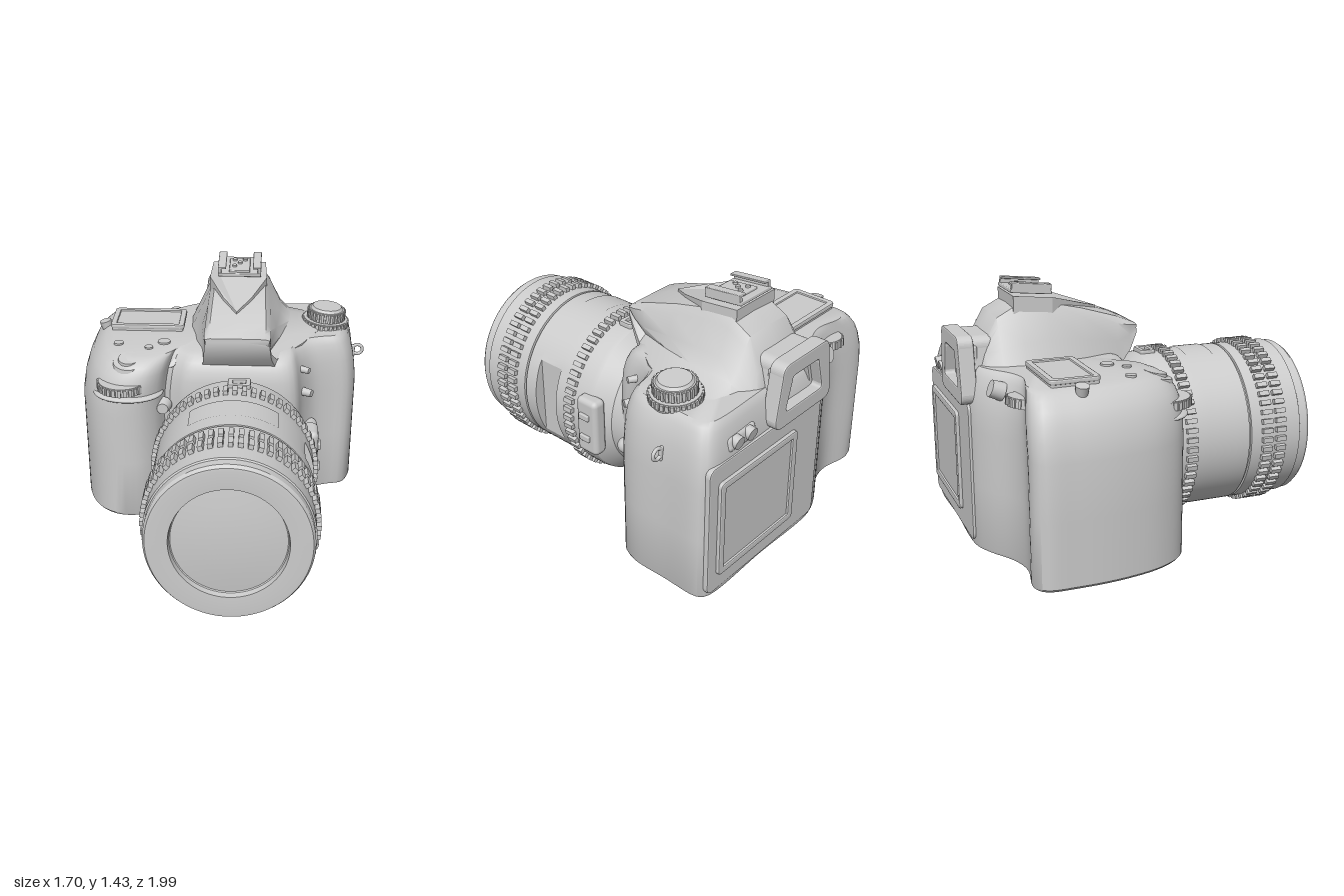
import * as THREE from 'three';
import { mergeGeometries, toCreasedNormals } from 'three/addons/utils/BufferGeometryUtils.js';
import { RoundedBoxGeometry } from 'three/addons/geometries/RoundedBoxGeometry.js';

const grey = new THREE.MeshStandardMaterial({ color: 0xcccccc });

export function createModel() {
  const model = new THREE.Group();

  const add = (name, geo, pos = [0, 0, 0], rot = [0, 0, 0], parent = model) => {
    const mesh = new THREE.Mesh(geo, grey);
    mesh.name = name;
    mesh.position.set(...pos);
    mesh.rotation.set(...rot);
    parent.add(mesh);
    return mesh;
  };
  const box = (w, h, d, r = 0.01) => new RoundedBoxGeometry(w, h, d, 2, r);
  const cyl = (rTop, rBottom, h, n = 32) => new THREE.CylinderGeometry(rTop, rBottom, h, n);

  // Skin over closed rings of equal length, capped at both ends
  function loft(rings, crease = 0.6) {
    const n = rings[0].length, pos = rings.flat(2), idx = [];
    for (let i = 0; i < rings.length - 1; i++) {
      for (let j = 0; j < n; j++) {
        const a = i * n + j, b = i * n + (j + 1) % n;
        idx.push(a, b, b + n, a, b + n, a + n);
      }
    }
    [0, rings.length - 1].forEach((r) => {
      const c = pos.length / 3;
      for (let k = 0; k < 3; k++) pos.push(rings[r].reduce((s, p) => s + p[k], 0) / n);
      for (let j = 0; j < n; j++) {
        const a = r * n + j, b = r * n + (j + 1) % n;
        idx.push(...(r ? [c, a, b] : [c, b, a]));
      }
    });
    const g = new THREE.BufferGeometry();
    g.setAttribute('position', new THREE.Float32BufferAttribute(pos, 3));
    g.setIndex(idx);
    return toCreasedNormals(g, crease);
  }

  // Ribs standing on a circle around the y axis
  const ribs = (r, count, w, h, d) => mergeGeometries(Array.from({ length: count }, (_, i) =>
    new THREE.BoxGeometry(w, h, d).translate(0, 0, r).rotateY((i / count) * Math.PI * 2)));
  const ribbedDial = (r, h, n) => mergeGeometries([cyl(r, r, h, 40), ribs(r, n, r * 0.14, h * 0.85, 0.02)]);

  // Rounded rectangle outline
  function roundRect(w, h, r, wTop = w, P = THREE.Shape) {
    const s = new P(), a = w / 2, t = wTop / 2, b = h / 2;
    s.moveTo(-a + r, -b).lineTo(a - r, -b).quadraticCurveTo(a, -b, a, -b + r);
    s.lineTo(t, b - r).quadraticCurveTo(t, b, t - r, b).lineTo(-t + r, b);
    s.quadraticCurveTo(-t, b, -t, b - r).lineTo(-a, -b + r).quadraticCurveTo(-a, -b, -a + r, -b);
    return s;
  }
  function frame(w, h, border, depth, wTop = w, r = 0.05) {
    const s = roundRect(w, h, r, wTop);
    s.holes.push(roundRect(w - 2 * border, h - 2 * border, r * 0.6, wTop - 2 * border, THREE.Path));
    return new THREE.ExtrudeGeometry(s, { depth, bevelEnabled: true, bevelSize: 0.008, bevelThickness: 0.008, bevelSegments: 2 });
  }

  // Body: footprint with the hand grip, raised and drawn in towards the top
  const plan = [[-0.84, -0.35], [-0.79, -0.13], [-0.71, 0], [-0.6, 0.06], [-0.46, 0.05], [-0.37, -0.02], [-0.32, -0.11],
    [-0.26, -0.08], [-0.22, -0.05], [0.1, -0.04], [0.38, -0.05], [0.43, -0.08], [0.47, -0.2], [0.54, -0.3], [0.64, -0.35],
    [0.74, -0.38], [0.785, -0.47], [0.79, -0.7], [0.785, -0.91], [0.75, -0.945], [0.3, -0.95], [-0.14, -0.95],
    [-0.25, -0.91], [-0.42, -0.81], [-0.55, -0.78], [-0.76, -0.81], [-0.83, -0.77], [-0.85, -0.6]];
  const outline = new THREE.CatmullRomCurve3(plan.map(([x, z]) => new THREE.Vector3(x, 0, z)), true)
    .getSpacedPoints(140).slice(0, -1);
  // height, left-side scale, front scale, back scale
  const levels = [[0.04, 0.985, 0.985, 0.99], [0.055, 1, 1, 1], [0.4, 1, 1, 1], [0.7, 1, 1, 1], [0.8, 0.98, 1, 1], [0.88, 0.95, 0.99, 0.98],
    [0.94, 0.915, 0.96, 0.95], [0.985, 0.87, 0.91, 0.92], [1.015, 0.83, 0.84, 0.89], [1.03, 0.78, 0.76, 0.86]];
  add('body', loft(levels.map(([y, s, f, b]) => outline.map((p) => [
    p.x * (p.x < 0 ? s : 1 - (1 - s) * 0.55), y, -0.5 + (p.z + 0.5) * (p.z > -0.5 ? f : b)]))));

  // Prism housing: sections from front to back (z, base y, top y, base half width, top half width, right shoulder)
  const prism = [[0.01, 1.13, 1.18, 0.18, 0.17, 0], [-0.03, 1.04, 1.2, 0.19, 0.175, 0], [-0.1, 0.95, 1.23, 0.2, 0.175, 0.02],
    [-0.3, 0.95, 1.29, 0.27, 0.17, 0.1], [-0.5, 0.95, 1.335, 0.32, 0.165, 0.16], [-0.65, 0.95, 1.335, 0.33, 0.165, 0.16],
    [-0.77, 0.95, 1.27, 0.32, 0.17, 0.14], [-0.85, 0.95, 1.12, 0.3, 0.18, 0.08], [-0.89, 0.93, 1.02, 0.27, 0.18, 0]];
  add('prismHousing', loft(prism.map(([z, y0, y1, b, t, e]) => {
    const h = y1 - y0, m = t + (b - t) * 0.45;
    return [[-b, y0], [-m, y0 + h * 0.5], [-t - 0.01, y1 - h * 0.15], [-t + 0.02, y1 - h * 0.02], [0, y1],
      [t - 0.02, y1 - h * 0.02], [t + 0.01, y1 - h * 0.15], [m, y0 + h * 0.5], [b - 0.03, y0 + h * 0.33], [b + e, y0 + h * 0.22], [b + e, y0]]
      .map(([x, y]) => [x + 0.09, y, z]);
  }), 0.7));

  // Raised wedge on top of the prism
  const wedge = new THREE.Shape([[0.08, 0.17], [0.16, 0.29], [0.245, 0.47], [0.235, 0.68], [-0.075, 0.68], [-0.085, 0.47], [0, 0.29]]
    .map((p) => new THREE.Vector2(...p)));
  const wedgeGeo = new THREE.ExtrudeGeometry(wedge, { depth: 0.1, bevelEnabled: false }).rotateX(-Math.PI / 2);
  const wp = wedgeGeo.attributes.position;
  for (let i = 0; i < wp.count; i++) {
    wp.setY(i, wp.getY(i) > 0.05 ? Math.min(1.375, 1.265 + (-wp.getZ(i) - 0.17) * 0.31) : 1.2);
  }
  wedgeGeo.computeVertexNormals();
  add('prismWedge', wedgeGeo);

  // Accessory shoe with folded rails
  const shoe = new THREE.Group();
  shoe.name = 'accessoryShoe';
  shoe.position.set(0.085, 1.385, -0.57);
  shoe.rotation.x = 0.1;
  model.add(shoe);
  add('shoePlate', box(0.25, 0.02, 0.23, 0.005), [0, 0, 0], [0, 0, 0], shoe);
  for (const s of [-1, 1]) {
    add('shoeRail', box(0.02, 0.05, 0.22, 0.004), [s * 0.115, 0.02, 0], [0, 0, 0], shoe);
    add('shoeLip', box(0.045, 0.012, 0.22, 0.004), [s * 0.1, 0.04, 0], [0, 0, 0], shoe);
  }
  add('shoeContactPad', box(0.12, 0.02, 0.17, 0.005), [0, 0.012, 0.01], [0, 0, 0], shoe);
  [[0, 0], [-0.03, -0.04], [0.03, -0.04], [-0.03, 0.04]].forEach(([x, z]) =>
    add('shoeContact', cyl(0.013, 0.013, 0.015, 12), [x, 0.025, z], [0, 0, 0], shoe));

  // Eyepiece
  add('eyepieceNeck', frame(0.4, 0.32, 0.06, 0.2, 0.32), [0.07, 1.01, -0.93]);
  add('eyecup', frame(0.46, 0.34, 0.07, 0.07, 0.38), [0.07, 1.01, -0.99]);
  add('eyepieceGlass', box(0.36, 0.25, 0.02), [0.07, 1.01, -0.9]);

  // Rear panel and screen
  const panel = new THREE.ExtrudeGeometry(roundRect(0.9, 0.75, 0.04), { depth: 0.02, bevelSize: 0.008, bevelThickness: 0.006, bevelSegments: 2 });
  add('rearPanel', panel, [0.31, 0.45, -0.957]);
  add('screenFrame', frame(0.61, 0.55, 0.025, 0.02, 0.61, 0.02), [0.39, 0.45, -0.975]);
  add('screen', box(0.57, 0.51, 0.02), [0.39, 0.45, -0.961]);
  add('rearButtonPlate', box(0.23, 0.09, 0.07, 0.03), [0.51, 0.89, -0.92], [0.2, 0, 0]);
  for (const x of [0.46, 0.56]) add('rearButton', cyl(0.033, 0.036, 0.04, 20), [x, 0.9, -0.955], [Math.PI / 2 - 0.2, 0, 0]);
  add('rearRoundButton', cyl(0.045, 0.05, 0.07, 24), [-0.32, 0.95, -0.85], [-1.2, 0, 0]);
  add('thumbDial', ribbedDial(0.085, 0.05, 18), [-0.49, 0.93, -0.755], [0.1, 0, 0]);

  // Top display, shutter release and small buttons
  add('topDisplay', box(0.42, 0.05, 0.25), [-0.455, 1.035, -0.545]);
  add('topDisplayRim', frame(0.42, 0.25, 0.018, 0.012, 0.42, 0.02), [-0.455, 1.05, -0.545], [-Math.PI / 2, 0, 0]);
  add('shutterCollar', cyl(0.09, 0.11, 0.06), [-0.52, 0.97, -0.07], [0.2, 0, 0]);
  add('shutterButton', cyl(0.06, 0.065, 0.03), [-0.52, 1.005, -0.065], [0.2, 0, 0]);
  [[-0.6, -0.23, 0.028], [-0.42, -0.18, 0.024], [-0.34, -0.26, 0.036]].forEach(([x, z, r]) =>
    add('topButton', cyl(r, r, 0.05, 20), [x, 1.015, z]));
  add('strapPost', cyl(0.036, 0.026, 0.09, 20), [-0.71, 1.0, -0.53], [0, 0, 0.25]);
  add('frontDial', ribbedDial(0.135, 0.05, 28), [-0.56, 0.875, -0.03]);
  add('frontDialLedge', new THREE.SphereGeometry(0.2, 32, 12).scale(1, 0.13, 0.72), [-0.53, 0.815, -0.05]);

  // Mode dial on its tapered pedestal
  add('modeDialPedestal', cyl(0.14, 0.09, 0.2), [0.595, 0.925, -0.605]);
  add('modeDialBase', ribbedDial(0.13, 0.04, 32), [0.6, 1.04, -0.605], [0, 0, -0.07]);
  add('modeDialTop', ribbedDial(0.105, 0.06, 26), [0.605, 1.09, -0.605], [0, 0, -0.07]);
  add('modeDialCap', cyl(0.085, 0.1, 0.02), [0.607, 1.125, -0.605], [0, 0, -0.07]);

  // Strap ring and the controls beside the mount
  add('strapRing', new THREE.TorusGeometry(0.03, 0.01, 10, 24), [0.81, 0.825, -0.67]);
  add('strapBracket', box(0.06, 0.08, 0.02, 0.008), [0.765, 0.815, -0.67]);
  [[0.48, 0.76, -0.2, 0.027], [0.46, 0.9, -0.21, 0.022], [0.5, 0.305, -0.22, 0.032]].forEach(([x, y, z, r]) =>
    add('sideButton', cyl(r * 0.8, r, 0.09, 16), [x, y, z], [0, -0.5, -Math.PI / 2]));
  add('lensRelease', new THREE.CapsuleGeometry(0.045, 0.09, 8, 20), [0.52, 0.5, -0.23], [Math.PI / 2, 0.3, 0]);
  add('focusLamp', cyl(0.032, 0.05, 0.06, 24), [-0.335, 0.72, -0.05], [Math.PI / 2, 0, 0]);
  add('frontButton', cyl(0.033, 0.038, 0.07, 20), [-0.295, 0.95, -0.16], [1, 0, 0]);

  // Lens, slightly taller than wide
  const lens = new THREE.Group();
  lens.name = 'lens';
  lens.position.set(0.088, 0.503, 0);
  lens.scale.y = 1.06;
  model.add(lens);
  const profile = [[0.36, -0.16], [0.36, -0.01], [0.4, 0.04], [0.435, 0.085], [0.44, 0.11], [0.44, 0.348], [0.44, 0.35], [0.44, 0.51],
    [0.44, 0.512], [0.44, 0.595], [0.428, 0.597], [0.428, 0.607], [0.44, 0.609], [0.44, 0.92], [0.432, 0.925], [0.432, 0.97], [0.42, 0.988],
    [0.405, 0.99], [0.305, 0.985], [0.3, 0.955], [0.295, 0.95], [0.2, 0.962], [0.1, 0.969], [0, 0.971]];
  const barrel = new THREE.LatheGeometry(profile.map((p) => new THREE.Vector2(...p)), 96).rotateX(Math.PI / 2);
  const bp = barrel.attributes.position;
  for (let i = 0; i < bp.count; i++) {
    // flat window cut into the left flank
    if (bp.getZ(i) > 0.349 && bp.getZ(i) < 0.511) bp.setX(i, Math.min(bp.getX(i), 0.38));
  }
  add('lensBarrel', toCreasedNormals(barrel, 0.45), [0, 0, 0], [0, 0, 0], lens);
  for (const z of [0.235, 0.705, 0.79]) {
    add('gripRing', ribs(0.447, 56, 0.026, 0.062, 0.034).rotateX(Math.PI / 2), [0, 0, z], [0, 0, 0], lens);
  }
  // Curved distance window on top
  const windowGeo = new THREE.CylinderGeometry(0.444, 0.444, 0.165, 20, 1, true, Math.PI - 0.56, 1.12).rotateX(Math.PI / 2);
  add('distanceWindow', windowGeo, [0, 0, 0.42], [0, 0, 0], lens);
  add('indexMark', frame(0.11, 0.075, 0.012, 0.02, 0.11, 0.01), [0.02, 0.43, 0.14], [-Math.PI / 2, 0, 0], lens);
  // Switch plate on the left flank
  add('switchPlate', box(0.09, 0.33, 0.15, 0.03), [0.42, 0.005, 0.085], [0, 0, 0], lens);
  for (const y of [0.07, -0.06]) add('switch', box(0.03, 0.035, 0.07, 0.006), [0.465, y, 0.09], [0, 0, 0], lens);

  return model;
}
